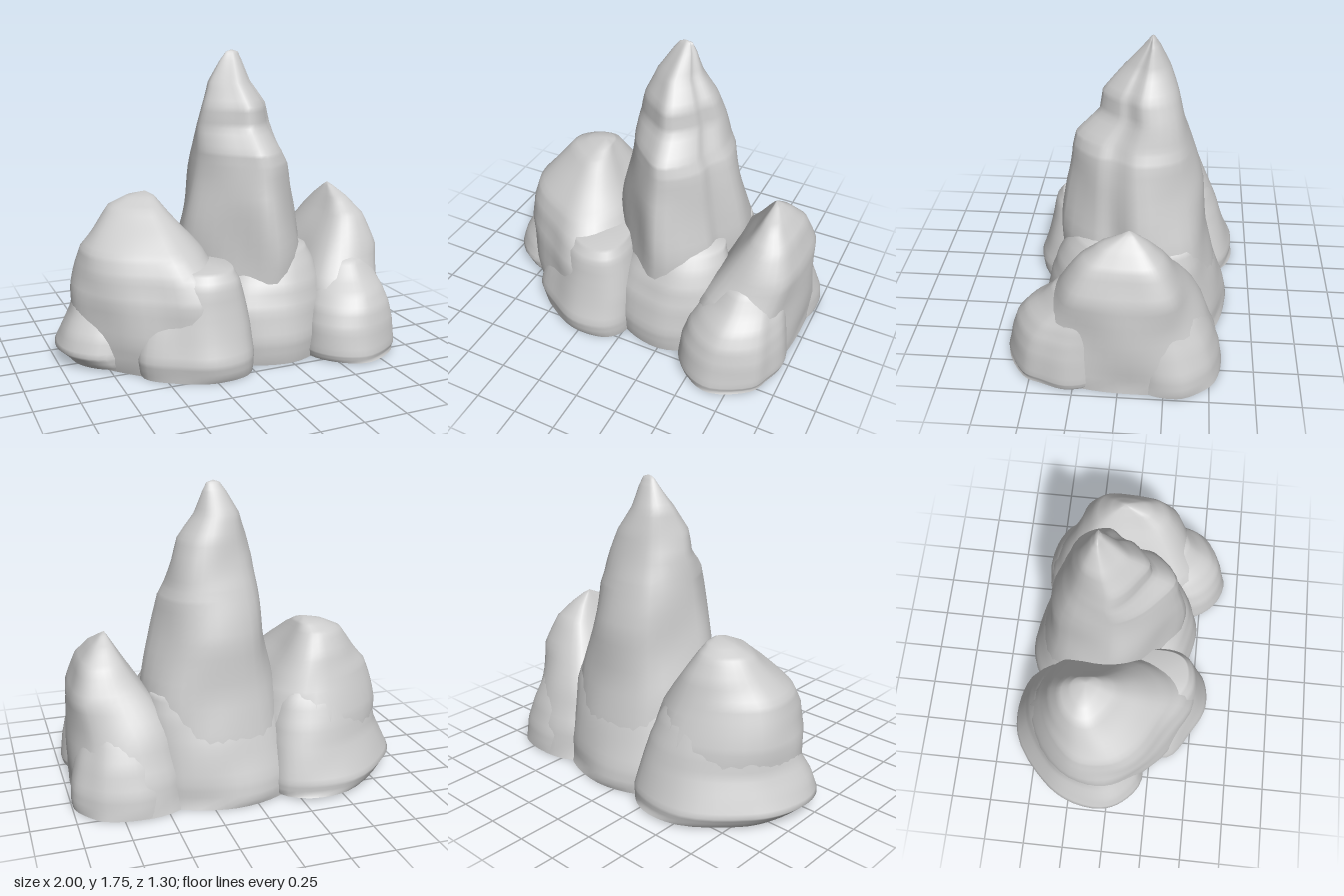
import * as THREE from 'three';

const SIDES = 40;
const SUB = 4;

// Soft, repeatable unevenness of the stone surface
const bump = (x, y, z) =>
  0.5 * Math.sin(9 * x + 5 * y + 1) * Math.sin(8 * z - 4 * y) +
  0.5 * Math.sin(11 * z + 7 * x + 2) * Math.cos(9 * y + 3 * x);

// Smooth closed plan outline, scaled to the -1..1 square
function planOutline(points) {
  const curve = new THREE.CatmullRomCurve3(
    points.map(([x, z]) => new THREE.Vector3(x, 0, z)), true, 'centripetal');
  const pts = curve.getPoints(SIDES).slice(0, SIDES);
  const box = new THREE.Box3().setFromPoints(pts);
  const mid = box.getCenter(new THREE.Vector3());
  const size = box.getSize(new THREE.Vector3());
  return pts.map(p => [2 * (p.x - mid.x) / size.x, 2 * (p.z - mid.z) / size.z]);
}

// Loft of one rock: levels are [y, xMin, xMax, zMin, zMax], apex is [x, y, z]
function rockGeometry(plan, levels, apex, rough) {
  const outline = planOutline(plan);
  const rows = [];
  levels.forEach((level, i) => {
    if (i === levels.length - 1) return rows.push(level);
    for (let s = 0; s < SUB; s++) {
      rows.push(level.map((v, k) => THREE.MathUtils.lerp(v, levels[i + 1][k], s / SUB)));
    }
  });

  const pos = [], index = [];
  rows.forEach(([y, x0, x1, z0, z1], r) => {
    const amount = r === 0 ? 0 : rough * Math.min(1, 2 * (x1 - x0));
    for (const [u, v] of outline) {
      const x = (x0 + x1) / 2 + u * (x1 - x0) / 2;
      const z = (z0 + z1) / 2 + v * (z1 - z0) / 2;
      const n = amount * bump(x, y, z);
      pos.push(x + u * n, y, z + v * n);
    }
  });
  for (let r = 0; r < rows.length - 1; r++) {
    for (let j = 0; j < SIDES; j++) {
      const a = r * SIDES + j, b = r * SIDES + (j + 1) % SIDES;
      index.push(a, a + SIDES, b, b, a + SIDES, b + SIDES);
    }
  }
  // Rounded tip
  const last = (rows.length - 1) * SIDES, tip = pos.length / 3;
  pos.push(...apex);
  for (let j = 0; j < SIDES; j++) index.push(last + j, tip, last + (j + 1) % SIDES);
  // Flat underside with its own corners
  const under = pos.length / 3;
  pos.push(...pos.slice(0, SIDES * 3));
  const [y, x0, x1, z0, z1] = rows[0];
  pos.push((x0 + x1) / 2, y, (z0 + z1) / 2);
  for (let j = 0; j < SIDES; j++) index.push(under + SIDES, under + j, under + (j + 1) % SIDES);

  const g = new THREE.BufferGeometry();
  g.setAttribute('position', new THREE.Float32BufferAttribute(pos, 3));
  g.setIndex(index);
  g.computeVertexNormals();
  return g;
}

export function createModel() {
  const group = new THREE.Group();
  const stone = new THREE.MeshStandardMaterial({ color: 0xcccccc });
  stone.name = 'pale grey stone';
  const rock = (name, plan, levels, apex, rough = 0.02) => {
    const mesh = new THREE.Mesh(rockGeometry(plan, levels, apex, rough), stone);
    mesh.name = name;
    group.add(mesh);
  };

  const round = [[1, 0], [0.75, 0.6], [0.1, 1], [-0.65, 0.75], [-1, 0.1], [-0.7, -0.7], [0, -1], [0.75, -0.7]];

  // Tall central spire with a pointed front edge
  rock('centralSpire',
    [[0.57, -0.1], [0.47, 0.06], [0.44, 0.18], [0.2, 0.38], [0, 0.25], [-0.2, 0.05],
      [-0.24, -0.08], [-0.1, -0.4], [0.2, -0.48], [0.45, -0.38]],
    [[0.01, -0.3, 0.6, -0.57, 0.42], [0.35, -0.28, 0.58, -0.52, 0.4], [0.62, -0.245, 0.56, -0.465, 0.38],
      [0.9, -0.19, 0.49, -0.43, 0.36], [1.12, -0.155, 0.45, -0.375, 0.32], [1.2, -0.14, 0.41, -0.355, 0.295],
      [1.33, -0.11, 0.36, -0.315, 0.165], [1.45, -0.08, 0.32, -0.28, 0.145], [1.58, -0.035, 0.23, -0.23, 0.03],
      [1.7, 0.045, 0.185, -0.175, -0.075], [1.75, 0.085, 0.16, -0.145, -0.115]],
    [0.12, 1.762, -0.13]);

  // Broad shoulder rock on the right-hand side, running down to the front
  rock('rightRock',
    [[-0.08, -0.12], [-0.06, 0.2], [-0.16, 0.42], [-0.32, 0.49], [-0.5, 0.41], [-0.7, 0.25], [-0.86, 0.05],
      [-0.9, -0.12], [-0.85, -0.33], [-0.62, -0.56], [-0.33, -0.62], [-0.14, -0.45]],
    [[0.01, -0.86, -0.02, -0.61, 0.5], [0.2, -0.89, -0.03, -0.59, 0.51], [0.42, -0.895, -0.07, -0.53, 0.475],
      [0.56, -0.865, -0.11, -0.475, 0.41], [0.66, -0.835, -0.17, -0.43, 0.32], [0.77, -0.74, -0.26, -0.38, 0.18],
      [0.88, -0.64, -0.34, -0.31, 0.03], [0.93, -0.53, -0.375, -0.24, -0.08]],
    [-0.42, 0.955, -0.16], 0.025);

  // Sloping apron around the outer and rear edge of the right-hand rock
  rock('rightFoot',
    [[-0.15, -0.3], [-0.4, 0.1], [-0.79, 0.21], [-0.95, 0.1], [-1, -0.03], [-0.96, -0.27],
      [-0.87, -0.42], [-0.58, -0.64], [-0.33, -0.66], [-0.17, -0.56]],
    [[0.025, -0.92, -0.12, -0.65, 0.2], [0.1, -0.995, -0.12, -0.655, 0.21], [0.2, -0.955, -0.13, -0.615, 0.19],
      [0.3, -0.905, -0.14, -0.575, 0.15], [0.4, -0.875, -0.16, -0.54, 0.1], [0.52, -0.82, -0.2, -0.49, 0.05],
      [0.64, -0.74, -0.26, -0.42, 0]],
    [-0.48, 0.75, -0.2], 0.015);

  // Blunt boulder at the front, ending in a small ledge
  rock('frontBoulder',
    [[0, 0.42], [-0.08, 0.55], [-0.28, 0.58], [-0.46, 0.5], [-0.62, 0.34], [-0.55, 0.1], [-0.3, -0.05], [-0.05, 0.1]],
    [[0.01, -0.61, 0.02, 0, 0.56], [0.12, -0.62, 0.02, 0, 0.58], [0.28, -0.59, 0.01, 0, 0.535],
      [0.42, -0.55, -0.01, 0, 0.49], [0.53, -0.5, -0.03, 0, 0.465], [0.595, -0.44, -0.06, 0.02, 0.425]],
    [-0.25, 0.62, 0.22]);

  // Saddle stones filling the middle, sloping up to the spire
  rock('frontSaddle', round,
    [[0.01, -0.14, 0.58, -0.1, 0.47], [0.15, -0.14, 0.58, -0.1, 0.485], [0.32, -0.12, 0.57, -0.1, 0.46],
      [0.44, -0.08, 0.55, -0.1, 0.415], [0.54, -0.04, 0.53, -0.1, 0.35], [0.62, 0.02, 0.5, -0.1, 0.29]],
    [0.22, 0.76, 0.1]);
  rock('backSaddle', round,
    [[0.01, -0.34, 0.58, -0.595, 0.1], [0.15, -0.33, 0.58, -0.58, 0.1], [0.35, -0.28, 0.57, -0.525, 0.1],
      [0.5, -0.23, 0.56, -0.475, 0.08], [0.62, -0.18, 0.53, -0.43, 0.05]],
    [0.16, 0.8, -0.15]);

  // Peaked rock on the left-hand side
  rock('leftRock',
    [[0.97, -0.1], [0.95, 0.15], [0.88, 0.4], [0.65, 0.5], [0.45, 0.4], [0.38, 0.05],
      [0.36, -0.3], [0.42, -0.5], [0.63, -0.57], [0.87, -0.5], [0.95, -0.36]],
    [[0.01, 0.34, 0.97, -0.565, 0.54], [0.2, 0.35, 0.97, -0.525, 0.52], [0.4, 0.4, 0.96, -0.445, 0.45],
      [0.6, 0.52, 0.965, -0.355, 0.33], [0.77, 0.635, 0.905, -0.25, 0.215], [0.86, 0.69, 0.83, -0.16, 0.11],
      [0.915, 0.725, 0.77, -0.085, -0.01]],
    [0.74, 0.935, -0.05]);

  // Lump leaning against the front of the left-hand rock
  rock('leftFrontLump',
    [[0.98, 0.28], [0.94, 0.42], [0.89, 0.53], [0.65, 0.65], [0.48, 0.58], [0.37, 0.42], [0.42, 0.15], [0.7, 0], [0.92, 0.12]],
    [[0.015, 0.38, 0.965, 0, 0.65], [0.06, 0.37, 0.98, 0, 0.66], [0.2, 0.38, 0.97, 0, 0.63],
      [0.3, 0.41, 0.955, 0, 0.59], [0.38, 0.46, 0.935, 0, 0.53], [0.45, 0.51, 0.91, 0, 0.45],
      [0.54, 0.56, 0.87, 0, 0.37]],
    [0.72, 0.68, 0.15], 0.012);

  // Low outer foot at the back of the left-hand rock
  rock('leftBackFoot',
    [[0.99, -0.34], [0.95, -0.15], [0.7, 0], [0.52, -0.2], [0.45, -0.48], [0.62, -0.57], [0.84, -0.54], [0.93, -0.46]],
    [[0.015, 0.44, 0.995, -0.57, 0.02], [0.14, 0.45, 0.99, -0.55, 0], [0.28, 0.48, 0.96, -0.5, 0],
      [0.42, 0.52, 0.92, -0.43, 0], [0.54, 0.58, 0.87, -0.35, 0]],
    [0.73, 0.68, -0.12], 0.015);

  return group;
}
